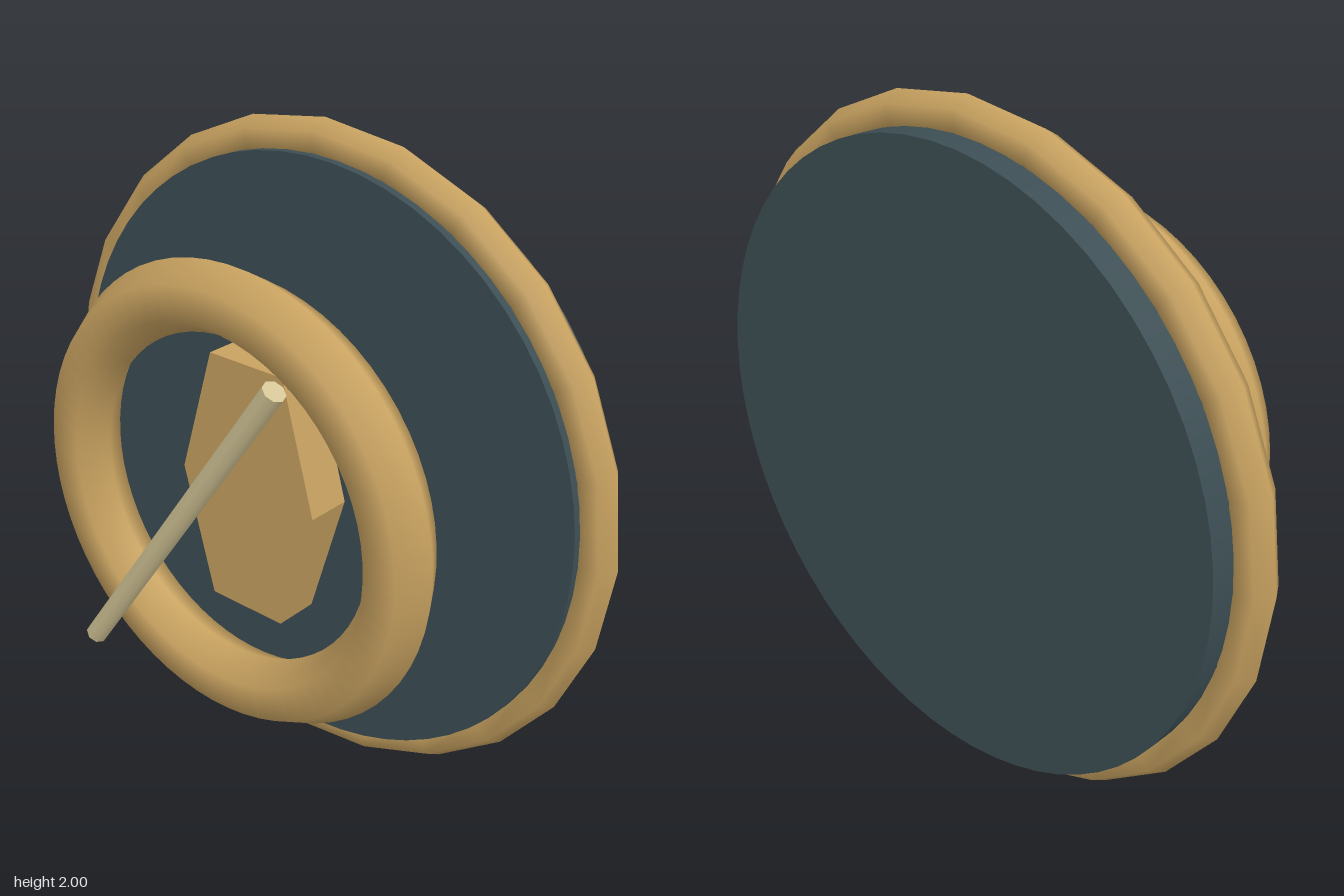
import * as THREE from 'three';

const material = (name, color) => {
  const m = new THREE.MeshStandardMaterial({ color });
  m.name = name;
  return m;
};

export function createModel() {
  const group = new THREE.Group();
  const brass = material('brass', 0xc8a260);
  const slate = material('slate', 0x3c4e54);
  const paleBrass = material('pale brass', 0xd3c596);

  // Every part is centred on a horizontal axis one unit above the ground
  const add = (name, geometry, mat, z, x = 0) => {
    const mesh = new THREE.Mesh(geometry, mat);
    mesh.name = name;
    mesh.position.set(x, 1, z);
    group.add(mesh);
    return mesh;
  };

  // Back plate
  add('backDisc', new THREE.CylinderGeometry(0.912, 0.912, 0.204, 64).rotateX(Math.PI / 2), slate, -0.276);

  // Rings with six-sided tubes
  add('outerRing', new THREE.TorusGeometry(0.942, 0.058, 6, 24), brass, -0.25);
  add('innerRing', new THREE.TorusGeometry(0.592, 0.102, 6, 64), brass, 0.137);

  // Tall hexagonal block floating behind the inner ring
  const hexagon = new THREE.Shape([
    [0.245, 0], [0.132, 0.39], [-0.132, 0.39],
    [-0.245, 0], [-0.132, -0.39], [0.132, -0.39],
  ].map(([x, y]) => new THREE.Vector2(x, y)));
  const block = new THREE.ExtrudeGeometry(hexagon, { depth: 0.14, bevelEnabled: false });
  add('hexBlock', block.translate(0, 0, -0.07), brass, 0);

  // Slanted rod in front
  const rod = add('rod', new THREE.CylinderGeometry(0.033, 0.033, 1.24, 8), paleBrass, 0.342, -0.012);
  rod.rotation.z = -0.608;

  return group;
}
